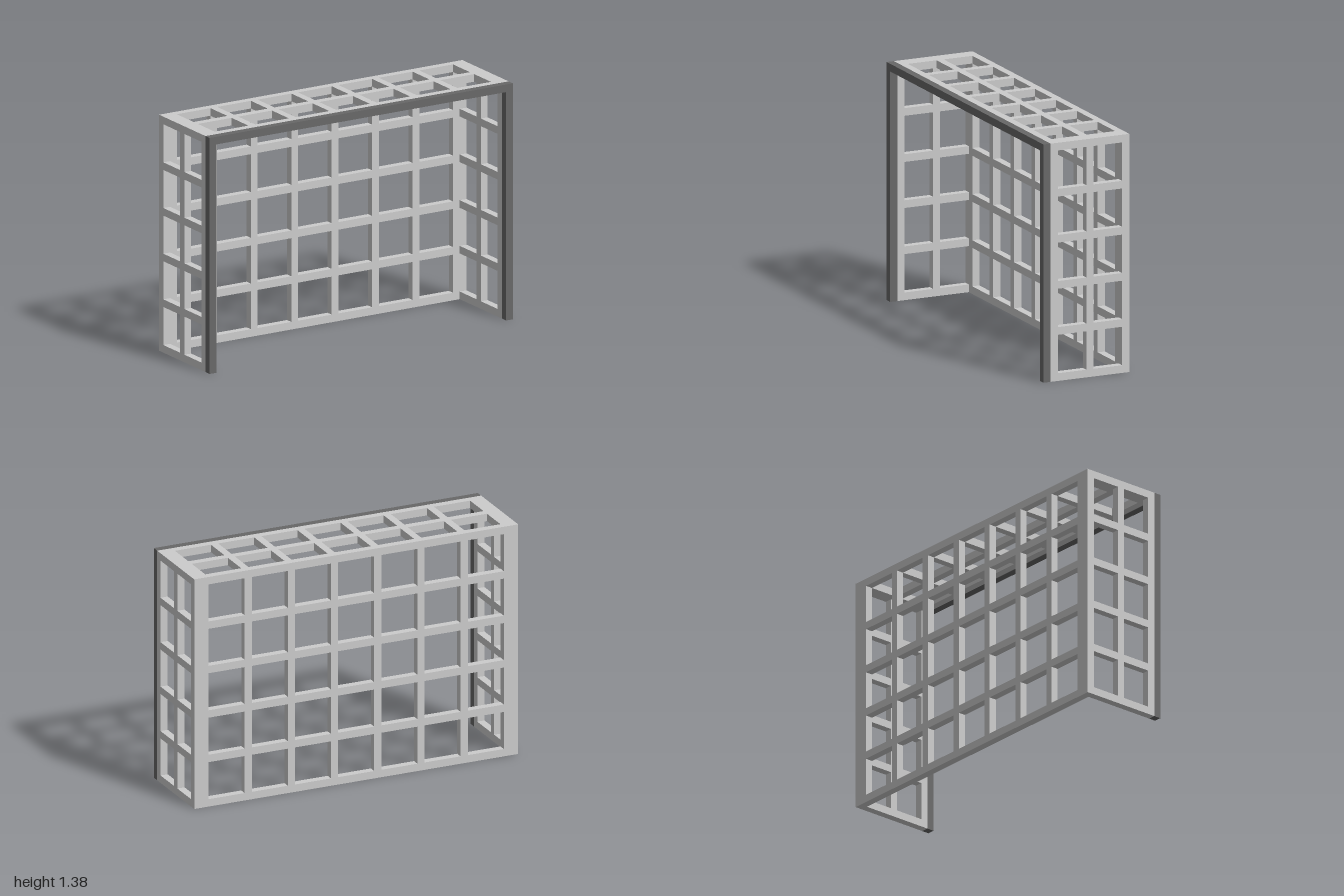
import * as THREE from 'three';

const U = 2 / 45; // one bar width; everything below is measured in bars

// Rectangular lattice, one bar thick, with 5-ish bar openings given as [start, end] spans
function lattice(a0, a1, b0, b1, spansA, spansB) {
  const rect = (Path, x0, x1, y0, y1) => new Path([
    new THREE.Vector2(x0, y0), new THREE.Vector2(x1, y0),
    new THREE.Vector2(x1, y1), new THREE.Vector2(x0, y1)]);
  const shape = rect(THREE.Shape, a0, a1, b0, b1);
  for (const [p, q] of spansA)
    for (const [r, s] of spansB) shape.holes.push(rect(THREE.Path, p, q, r, s));
  return new THREE.ExtrudeGeometry(shape, { depth: 1, bevelEnabled: false });
}

// Evenly spaced openings separated by single bars
const spans = (start, size, count) =>
  Array.from({ length: count }, (_, i) => [start + i * (size + 1), start + i * (size + 1) + size]);

export function createModel() {
  const lightGrey = new THREE.MeshStandardMaterial({ color: 0xcccccc });
  lightGrey.name = 'light grey lattice';
  const darkGrey = new THREE.MeshStandardMaterial({ color: 0x686868 });
  darkGrey.name = 'dark grey frame';

  const model = new THREE.Group();
  model.name = 'goal';
  const add = (name, geometry, material) => {
    const mesh = new THREE.Mesh(geometry.scale(U, U, U), material);
    mesh.name = name;
    model.add(mesh);
  };

  const across = spans(-20.5, 5, 7);
  const up = spans(1, 5, 5);
  const deep = spans(-5, 4, 2);

  // Back, between the side panels
  add('backLattice', lattice(-21.5, 21.5, 0, 31, across, up).translate(0, 0, -6), lightGrey);

  // Sides
  for (const [name, x] of [['leftLattice', 22.5], ['rightLattice', -21.5]])
    add(name, lattice(-6, 5, 0, 31, deep, up).rotateY(-Math.PI / 2).translate(x, 0, 0), lightGrey);

  // Roof
  add('roofLattice', lattice(-21.5, 21.5, -6, 5, across, deep).rotateX(Math.PI / 2).translate(0, 31, 0), lightGrey);

  // Front posts and crossbar in one piece
  const outline = [[-22.5, 0], [-21.5, 0], [-21.5, 30], [21.5, 30], [21.5, 0], [22.5, 0], [22.5, 31], [-22.5, 31]];
  const frame = new THREE.Shape(outline.map(([x, y]) => new THREE.Vector2(x, y)));
  add('frontFrame', new THREE.ExtrudeGeometry(frame, { depth: 1, bevelEnabled: false }).translate(0, 0, 5), darkGrey);

  return model;
}
